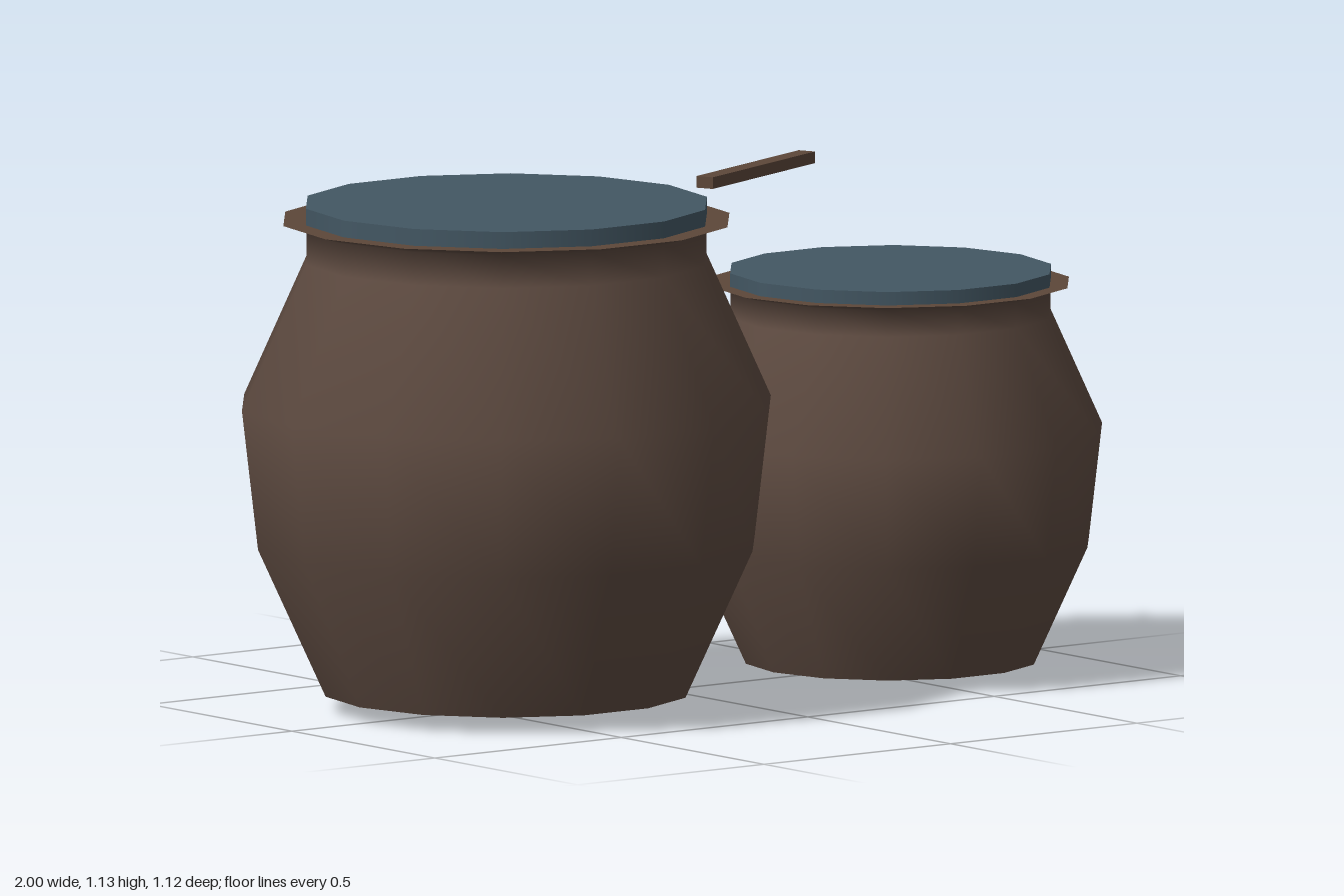
import * as THREE from 'three';

const SIDES = 14;
const clay = new THREE.MeshStandardMaterial({ color: 0x5d4a40 });
clay.name = 'brown clay';
const rimBrown = new THREE.MeshStandardMaterial({ color: 0x5c4739 });
rimBrown.name = 'warm brown';
const slate = new THREE.MeshStandardMaterial({ color: 0x435763 });
slate.name = 'slate blue';

function add(parent, name, geometry, material) {
  const mesh = new THREE.Mesh(geometry, material);
  mesh.name = name;
  parent.add(mesh);
  return mesh;
}

// Fourteen-sided turned surface with a corner on the x axis
function turned(points) {
  const profile = points.map(([r, y]) => new THREE.Vector2(r, y));
  return new THREE.LatheGeometry(profile, SIDES, Math.PI / 2);
}

function createPot(name) {
  const pot = new THREE.Group();
  pot.name = name;

  // Shallow cone under the pot
  add(pot, 'base', turned([[0, 0], [0.393, 0.035]]), clay);

  // Bulging wall, straight neck and the flare beneath the rim
  add(pot, 'body', turned([
    [0.393, 0.035], [0.54, 0.355], [0.575, 0.655],
    [0.435, 0.965], [0.435, 1.036], [0.485, 1.05],
  ]), clay);

  // Flat top of the rim
  add(pot, 'rim', turned([[0.485, 1.05], [0.42, 1.05]]), rimBrown);

  // Lid disc
  const lid = new THREE.CylinderGeometry(0.436, 0.436, 0.037, SIDES, 1, false, Math.PI / 2);
  add(pot, 'lid', lid, slate).position.y = 1.0675;
  return pot;
}

export function createModel() {
  const model = new THREE.Group();
  model.name = 'pots';

  const large = createPot('largePot');
  large.position.x = -0.425;

  const small = createPot('smallPot');
  small.scale.setScalar(0.8);
  small.position.set(0.54, 0, 0.085);

  model.add(large, small);

  // Stick above the pots
  const stick = add(model, 'stick', new THREE.BoxGeometry(0.44, 0.025, 0.04), rimBrown);
  stick.position.set(0.144, 1.122, 0.13);
  stick.rotation.y = 0.4;

  return model;
}
